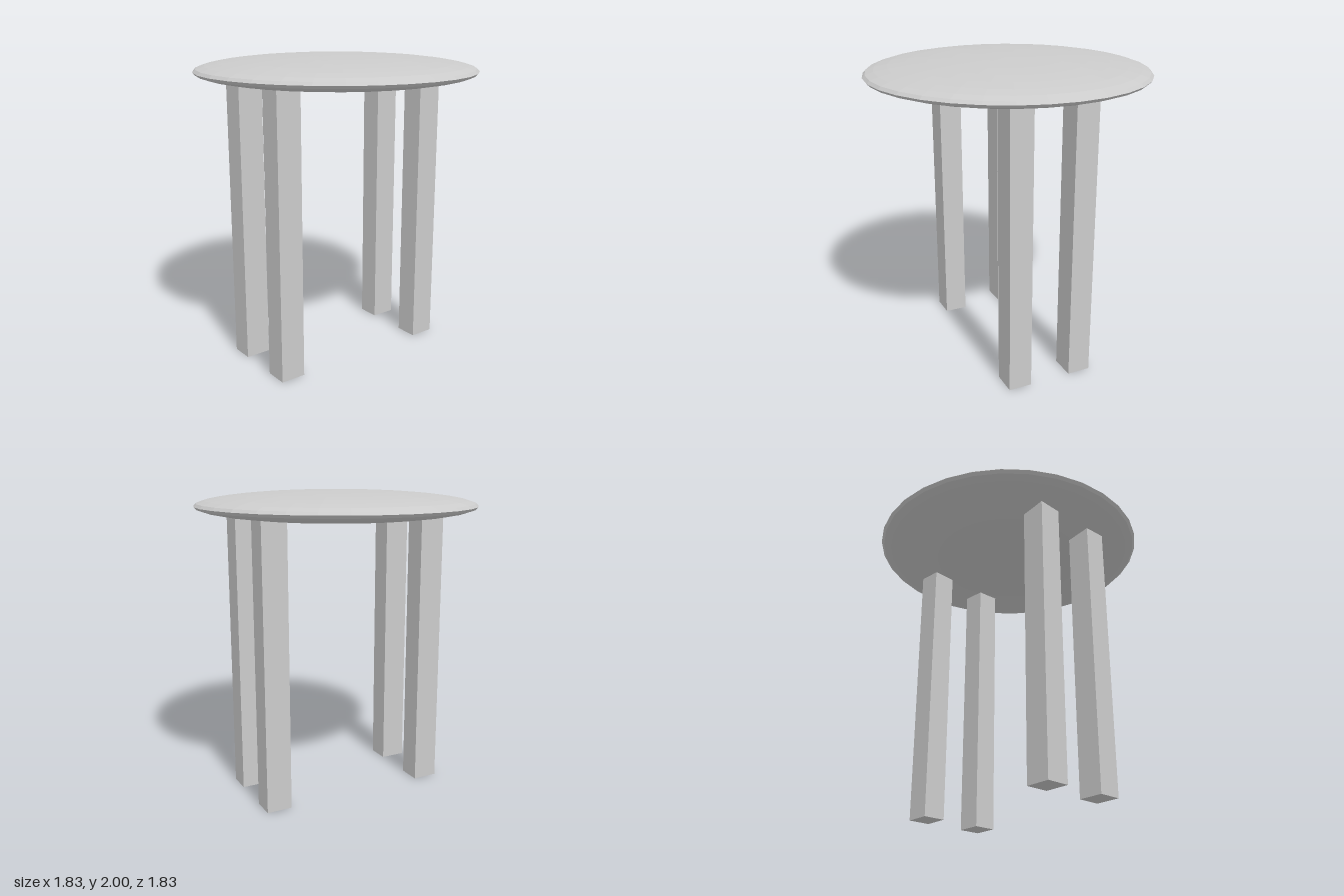
import * as THREE from 'three';

export function createModel() {
  const group = new THREE.Group();
  const material = new THREE.MeshStandardMaterial({ color: 0xcccccc, flatShading: true });

  // Round top: a faceted sphere flattened into a lens
  const topGeometry = new THREE.SphereGeometry(1, 32, 16);
  topGeometry.scale(0.914, 0.093, 0.914);
  const top = new THREE.Mesh(topGeometry, material);
  top.name = 'tableTop';
  top.position.y = 1.907;
  group.add(top);

  // Four square legs, ending inside the top
  const legHeight = 1.88;
  const legGeometry = new THREE.BoxGeometry(0.167, legHeight, 0.153);
  for (const [xName, x] of [['Left', 1], ['Right', -1]]) {
    for (const [zName, z] of [['front', 1], ['back', -1]]) {
      const leg = new THREE.Mesh(legGeometry, material);
      leg.name = `${zName}${xName}Leg`;
      leg.position.set(x * 0.561, legHeight / 2, z * 0.215);
      group.add(leg);
    }
  }
  return group;
}
